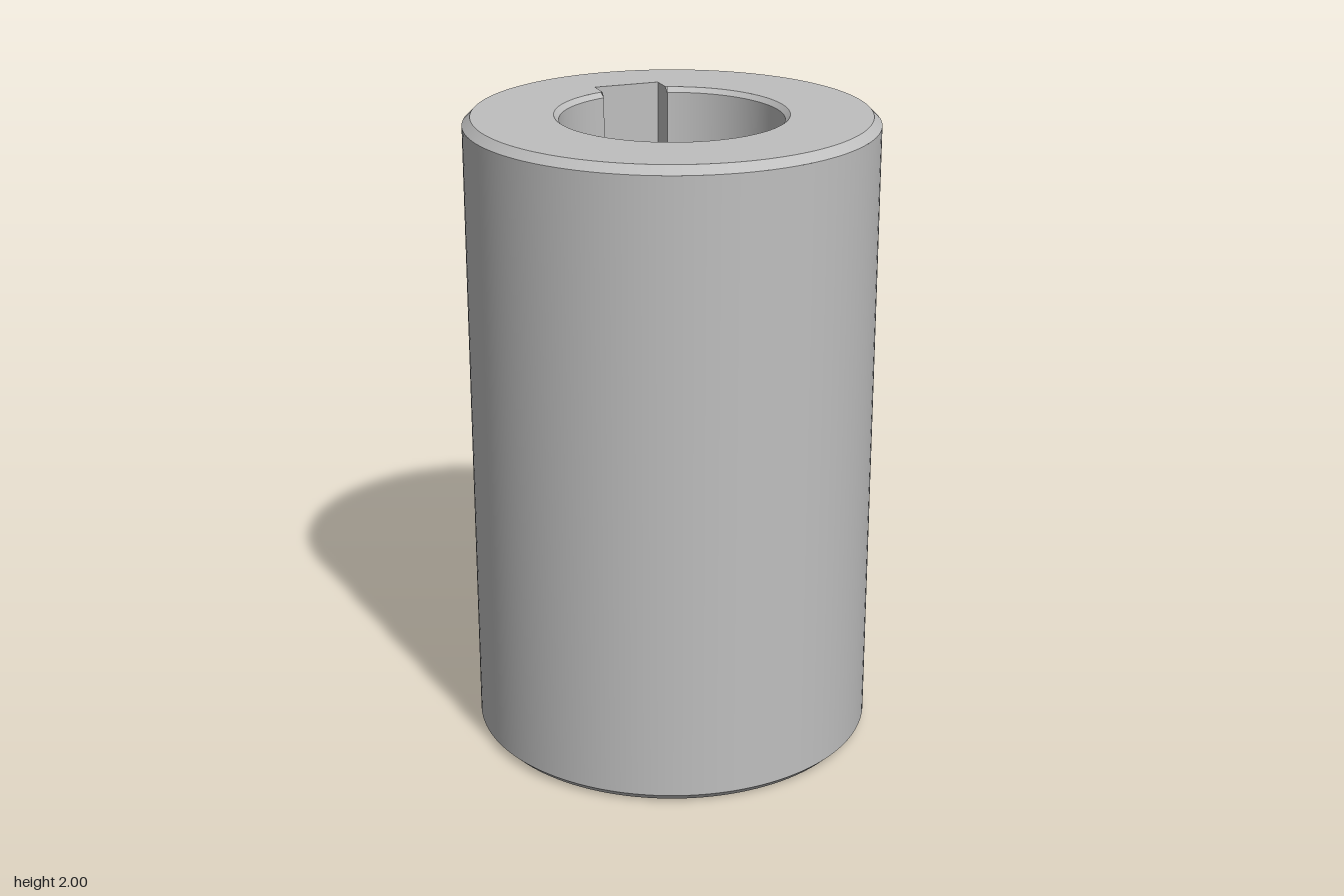
import * as THREE from 'three';
import { ParametricGeometry } from 'three/addons/geometries/ParametricGeometry.js';

const R = 0.63, H = 2, C = 0.025;          // outer radius, height, edge chamfer
const B = 0.34, BC = 0.015, DOME = 1.29;   // bore radius, bore chamfer, height where the round bore end starts
const K = 0.105, KZ = -0.41;               // keyway half width (also cross hole radius), keyway back
const HY = 1.1, P = 0.2;                   // cross hole height, half size of the wall patch round it

export function createModel() {
  const group = new THREE.Group();
  const steel = new THREE.MeshStandardMaterial({ color: 0xbfbfbf, side: THREE.DoubleSide });
  steel.name = 'steel grey';

  const add = (name, geometry) => {
    const mesh = new THREE.Mesh(geometry, steel);
    mesh.name = name;
    group.add(mesh);
    return mesh;
  };
  // Turned surface with an optional gap centred on the back
  const turn = (name, points, gap = 0) => add(name, new THREE.LatheGeometry(
    points.map(p => new THREE.Vector2(...p)), 128, Math.PI + gap, 2 * (Math.PI - gap)));
  const surface = (name, f, nu, nv) => add(name, new ParametricGeometry(
    (u, v, target) => target.set(...f(u, v)), nu, nv));

  // Outside: wall, chamfers and bottom
  const patchAngle = Math.asin(P / R);
  turn('outerWall', [[R, C], [R, H - C]], patchAngle);
  for (const [y0, y1] of [[C, HY - P], [HY + P, H - C]]) {
    add('outerWallBack', new THREE.LatheGeometry(
      [new THREE.Vector2(R, y0), new THREE.Vector2(R, y1)], 24, Math.PI - patchAngle, 2 * patchAngle));
  }
  turn('bottomChamfer', [[R - C, 0], [R, C]]);
  turn('topChamfer', [[R, H - C], [R - C, H]]);
  add('bottomFace', new THREE.CircleGeometry(R - C, 128).rotateX(Math.PI / 2));

  // Wall patch spreading from the round hole to a square
  surface('holeSurround', (u, v) => {
    const t = u * 2 * Math.PI, c = Math.cos(t), s = Math.sin(t);
    const r = K + v * (P / Math.max(Math.abs(c), Math.abs(s)) - K);
    return [r * c, HY + r * s, -Math.sqrt(R * R - r * r * c * c)];
  }, 64, 8);

  // Top ring with the bore and keyway cut out
  const ring = new THREE.Shape().absarc(0, 0, R - C, 0, 2 * Math.PI, false);
  const top = B + BC, topAngle = Math.asin(K / top);
  const opening = new THREE.Path();
  opening.absarc(0, 0, top, Math.PI / 2 + topAngle, Math.PI * 2.5 - topAngle, false);
  opening.lineTo(K, -KZ);
  opening.lineTo(-K, -KZ);
  opening.closePath();
  ring.holes.push(opening);
  add('topFace', new THREE.ShapeGeometry(ring, 96).rotateX(-Math.PI / 2)).position.y = H;

  // Bore wall and its chamfer, open at the keyway
  const keyAngle = Math.asin(K / B);
  turn('boreChamfer', [[top, H], [B, H - BC]], keyAngle);
  turn('boreWall', [[B, H - BC], [B, DOME]], keyAngle);

  // Round bore end, trimmed where the keyway cuts into it
  const domeY = r => DOME - Math.sqrt(Math.max(0, B * B - r * r));
  const floorY = x => HY - Math.sqrt(Math.max(0, K * K - x * x));
  const reach = phi => {
    if (Math.cos(phi) > -Math.cos(keyAngle)) return B;
    let r = 0.1;
    while (r < B && (Math.abs(r * Math.sin(phi)) > K || domeY(r) < floorY(r * Math.sin(phi)))) r += 0.001;
    return Math.min(r, B);
  };
  surface('boreEnd', (u, v) => {
    const phi = -u * 2 * Math.PI;
    const r = reach(phi) * Math.sin(Math.max(v, 0.002) * Math.PI / 2);
    return [r * Math.sin(phi), domeY(r), r * Math.cos(phi)];
  }, 192, 16);

  // Cross hole: the lower half runs on as the keyway floor
  const holeHalf = (name, start, innerZ) => surface(name, (u, v) => {
    const t = start + u * Math.PI, x = K * Math.cos(t), y = HY + K * Math.sin(t);
    const z0 = innerZ(x, y), z1 = -Math.sqrt(R * R - x * x);
    return [x, y, z0 + v * (z1 - z0)];
  }, 32, 2);
  holeHalf('crossHoleTop', 0, () => KZ);
  holeHalf('crossHoleAndKeywayFloor', Math.PI,
    (x, y) => -Math.sqrt(Math.max(0, B * B - (DOME - y) ** 2 - x * x)));

  // Keyway back, arched over the hole
  const back = new THREE.Shape();
  back.moveTo(K, HY);
  back.lineTo(K, H);
  back.lineTo(-K, H);
  back.lineTo(-K, HY);
  back.absarc(0, HY, K, Math.PI, 0, true);
  add('keywayBack', new THREE.ShapeGeometry(back, 32)).position.z = KZ;

  // Keyway sides, following the bore outline
  const boreRadius = y => y < DOME ? Math.sqrt(B * B - (DOME - y) ** 2) : B + Math.max(0, y - H + BC);
  for (const side of [1, -1]) {
    surface(side > 0 ? 'keywayLeftSide' : 'keywayRightSide', (u, v) => {
      const y = HY + v * (H - HY), edge = -Math.sqrt(boreRadius(y) ** 2 - K * K);
      return [side * K, y, KZ + (side > 0 ? u : 1 - u) * (edge - KZ)];
    }, 1, 60);
  }
  return group;
}
